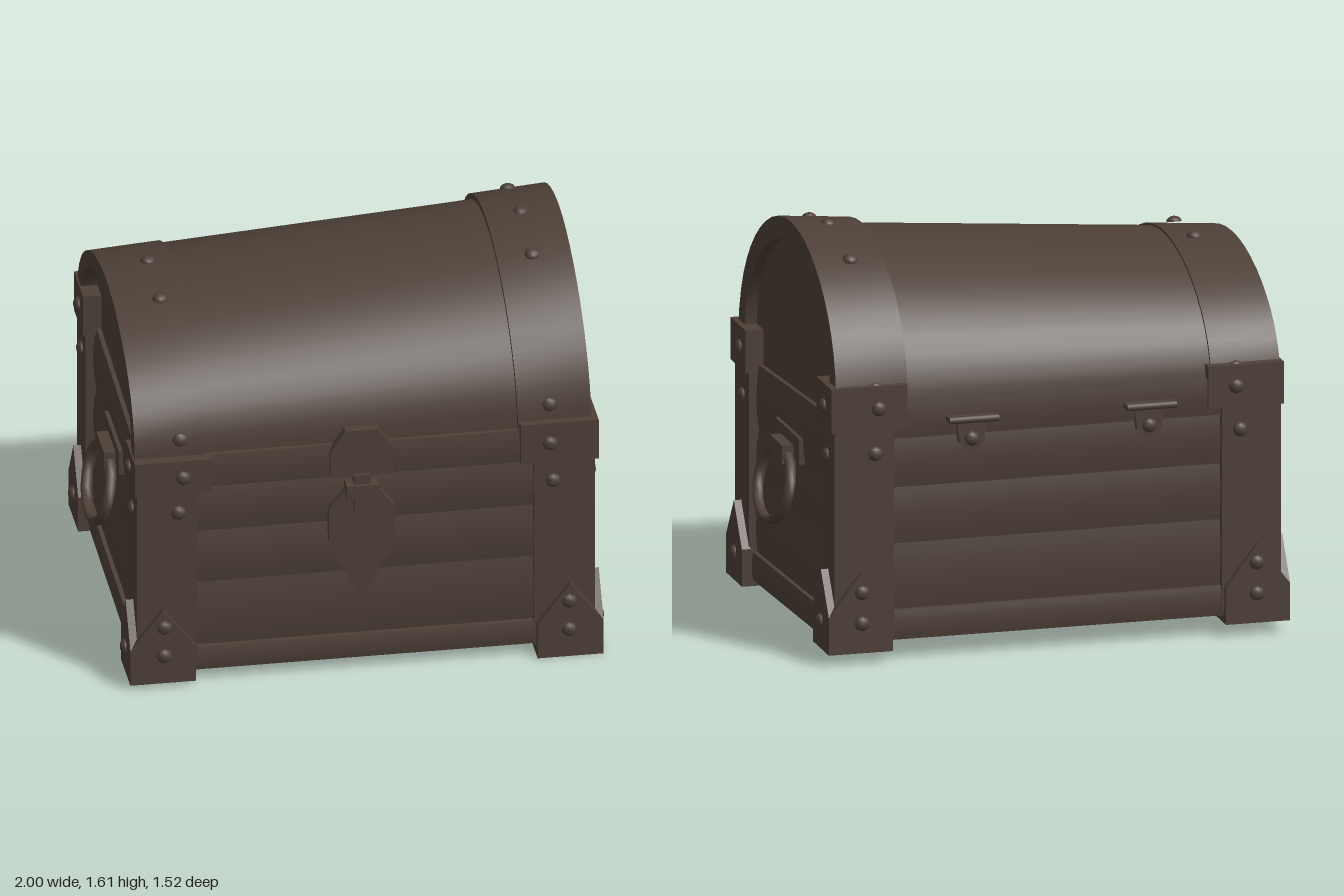
import * as THREE from 'three';
import { toCreasedNormals } from 'three/addons/utils/BufferGeometryUtils.js';

export function createModel() {
  const root = new THREE.Group();
  root.name = 'treasureChest';
  const mat = new THREE.MeshStandardMaterial({ color: 0x4d4037 });
  mat.name = 'dark wood';

  const add = (name, geo, x = 0, y = 0, z = 0, parent = root) => {
    const m = new THREE.Mesh(geo, mat);
    m.name = name;
    m.position.set(x, y, z);
    parent.add(m);
    return m;
  };
  // box given by its limits
  const block = (name, x0, x1, y0, y1, z0, z1) => add(name,
    new THREE.BoxGeometry(Math.abs(x1 - x0), y1 - y0, Math.abs(z1 - z0)),
    (x0 + x1) / 2, (y0 + y1) / 2, (z0 + z1) / 2);
  // flat plate from an outline, centred in its thickness
  const plate = (pts, depth) => {
    const shape = new THREE.Shape(pts.map(p => new THREE.Vector2(...p)));
    return new THREE.ExtrudeGeometry(shape, { depth, bevelEnabled: false }).translate(0, 0, -depth / 2);
  };
  // board with a softly rounded outer face towards +z
  const board = (len, h, t, bulge) => {
    const g = new THREE.BoxGeometry(len, h, t, 1, 6, 1);
    const p = g.attributes.position;
    for (let i = 0; i < p.count; i++) {
      if (p.getZ(i) > 0) p.setZ(i, p.getZ(i) - bulge * Math.pow(2 * p.getY(i) / h, 2));
    }
    return toCreasedNormals(g, 0.6);
  };
  // flattened nail head sitting on a surface
  const up = new THREE.Vector3(0, 1, 0);
  const nailGeo = new THREE.SphereGeometry(0.031, 8, 4, 0, Math.PI * 2, 0, Math.PI / 2).scale(1, 0.7, 1);
  const nail = (x, y, z, nx, ny, nz) => {
    const m = add('nail', nailGeo, x, y, z);
    m.quaternion.setFromUnitVectors(up, new THREE.Vector3(nx, ny, nz).normalize());
  };

  // ---- Lid: arched shapes along x, rising towards the left end ----
  const SPRING = 1.0;
  const rise = x => 0.518 + 0.09 * x;
  const arc = (w, h, n = 24) => Array.from({ length: n + 1 }, (_, i) => {
    const t = Math.PI * i / n;
    return [w * Math.cos(t), h * Math.sin(t) * (1 - 0.015 * Math.sin(2 * t) ** 2)];
  });
  const arch = (name, x0, x1, off, thick, leg, flare = 0) => {
    const w = 0.69 + off, h = 1 + off / 0.6;
    const outer = [[w, -leg], ...arc(w, h), [-w, -leg]];
    const wi = w - thick, hi = h - thick / 0.56;
    const inner = thick ? [[wi, -leg], ...arc(wi, hi), [-wi, -leg]].reverse() : [];
    const g = plate([...outer, ...inner], x1 - x0).rotateY(Math.PI / 2).translate((x0 + x1) / 2, 0, 0);
    const p = g.attributes.position;
    for (let i = 0; i < p.count; i++) {
      const x = p.getX(i), y = p.getY(i);
      p.setXY(i, x + flare * (1 - y), SPRING + (y > 0 ? y * rise(x) : y));
    }
    add(name, toCreasedNormals(g, 0.6));
  };
  arch('lidShell', -0.85, 0.85, -0.018, 0.04, 0.1);
  arch('lidBandLeft', 0.59, 0.88, 0.006, 0.085, 0.06, 0.015);
  arch('lidBandRight', -0.91, -0.63, -0.006, 0.08, 0.06);
  arch('lidEndLeft', 0.79, 0.845, -0.04, 0, 0.14);
  arch('lidEndRight', -0.845, -0.79, -0.04, 0, 0.14);
  for (const [x, angles] of [[0.73, [9, 67, 90, 117, 171]], [-0.73, [8, 73, 97, 171]]]) {
    for (const a of angles) {
      const t = a * Math.PI / 180, h = rise(x);
      nail(x, SPRING + h * Math.sin(t), 0.69 * Math.cos(t), 0, Math.sin(t) / h, Math.cos(t) / 0.69);
    }
  }
  add('lidRimFront', board(1.76, 0.14, 0.06, 0.006), 0, 0.92, 0.668);
  add('lidRimBack', board(1.76, 0.15, 0.07, 0.006), 0, 0.965, -0.665).rotation.y = Math.PI;

  // ---- Walls: stacked boards on all four sides ----
  const rows = [[0.05, 0.15], [0.15, 0.425], [0.425, 0.65], [0.65, 0.86]];
  rows.forEach(([a, b], i) => {
    const h = b - a, y = (a + b) / 2, out = i === 0 ? 0.015 : 0, bulge = i === 0 ? 0.006 : 0.012;
    add('frontBoard', board(1.66, h, 0.07, bulge), 0, y, 0.655 + out);
    add('backBoard', board(1.66, h + 0.02, 0.07, bulge), 0, y + 0.04, -0.655 - out).rotation.y = Math.PI;
  });
  // end boards climb slightly towards the back, some leaning out at the foot
  const endRows = [[0.045, 0.145, 0.03, 0], [0.145, 0.445, 0.025, 0.05], [0.445, 0.655, 0.03, 0.03], [0.655, 0.91, 0.055, 0]];
  endRows.forEach(([a, b, climb, lean], i) => {
    for (const s of [1, -1]) {
      const end = new THREE.Group();
      end.name = 'endBoard';
      end.position.set(s * (i === 0 ? 0.86 : 0.84), (a + b) / 2, 0);
      end.rotation.set(climb, 0, s * lean);
      root.add(end);
      add('board', board(1.3, b - a + 0.012, 0.07, i === 0 ? 0.006 : 0.012), 0, 0, 0, end).rotation.y = s * Math.PI / 2;
    }
  });

  // ---- Underside: frame and tilted slats running lengthwise ----
  block('bottomBeamFront', -0.7, 0.7, 0.052, 0.12, 0.56, 0.64);
  block('bottomBeamBack', -0.7, 0.7, 0.082, 0.14, -0.64, -0.56);
  for (const s of [1, -1]) {
    block('bottomBeamEnd', s * 0.76, s * 0.84, 0.065, 0.13, -0.55, 0.55);
  }
  for (let i = 0; i < 5; i++) {
    const slat = add('bottomSlat', board(1.66, 0.27, 0.05, 0.015), 0, 0.118, -0.5 + i * 0.25);
    slat.rotation.x = Math.PI / 2 + 0.16;
  }

  // ---- Corners: post, lid cap, pointed foot and nails ----
  const corners = [ // side x, side z, foot y, cap bottom, cap top
    [1, 1, 0.0, 0.86, 1.03], [-1, 1, 0.02, 0.845, 0.99],
    [1, -1, 0.045, 0.93, 1.11], [-1, -1, 0.05, 0.92, 1.09],
  ];
  for (const [sx, sz, y0, c0, c1] of corners) {
    const capZ = sz > 0 ? 0.73 : 0.71;
    block('cornerPost', sx * 0.665, sx * 0.905, y0 + 0.05, c0 + 0.01, sz * 0.51, sz * 0.71);
    block('cornerCap', sx * 0.61, sx * 0.917, c0, c1, sz * (capZ - 0.215), sz * capZ);
    block('foot', sx * 0.675, sx * 0.935, y0, y0 + 0.15, sz * 0.505, sz * 0.735);
    const point = w => [[-w, 0], [w, 0], [w, 0.15], [0, 0.32], [-w, 0.15]];
    add('footPointFace', plate(point(0.13), 0.03), sx * 0.805, y0, sz * 0.72);
    add('footPointSide', plate(point(0.115), 0.035).rotateY(Math.PI / 2), sx * 0.9175, y0, sz * 0.62);
    const cy = (c0 + c1) / 2;
    nail(sx * 0.725, cy, sz * capZ, 0, 0, sz);
    nail(sx * 0.74, c0 - 0.09, sz * 0.71, 0, 0, sz);
    nail(sx * 0.8, y0 + 0.12, sz * 0.735, 0, 0, sz);
    nail(sx * 0.8, y0 + 0.245, sz * 0.735, 0, 0, sz);
    nail(sx * 0.917, cy, sz * 0.6, sx, 0, 0);
    nail(sx * 0.905, c0 - 0.11, sz * 0.6, sx, 0, 0);
    nail(sx * 0.935, y0 + 0.112, sz * 0.615, sx, 0, 0);
  }

  // ---- Clasp on the front ----
  const cx = -0.017;
  add('claspTop', plate([[-0.125, 0.86], [0.125, 0.86], [0.125, 0.97], [0.065, 1.06],
    [-0.065, 1.06], [-0.125, 0.97]], 0.04), cx, 0, 0.7);
  add('claspLock', plate([[0, 0.315], [0.05, 0.41], [0.13, 0.57], [0.13, 0.72], [0.065, 0.8],
    [-0.065, 0.8], [-0.13, 0.72], [-0.13, 0.57], [-0.05, 0.41]], 0.05), cx, 0, 0.695);
  block('claspTongue', cx - 0.033, cx + 0.033, 0.7, 0.87, 0.69, 0.735);
  block('claspBar', cx - 0.065, cx + 0.065, 0.775, 0.83, 0.68, 0.75);

  // ---- Hinges on the back ----
  for (const x of [-0.37, 0.35]) {
    block('hingeLeaf', x - 0.1, x + 0.1, 0.95, 0.97, -0.755, -0.67);
    add('hingePin', new THREE.CylinderGeometry(0.014, 0.014, 0.2, 8).rotateZ(Math.PI / 2), x, 0.96, -0.746);
    add('hingeTongue', plate([[0.06, 0.95], [-0.06, 0.95], [-0.05, 0.86], [0, 0.81], [0.05, 0.86]], 0.04), x, 0, -0.695);
    nail(x, 0.875, -0.715, 0, 0, -1);
  }

  // ---- Ring handles on both ends ----
  for (const s of [1, -1]) {
    block('handlePlate', s * 0.84, s * 0.89, 0.66, 0.765, -0.15, 0.19);
    block('handleClip', s * 0.87, s * 0.935, 0.645, 0.72, -0.07, 0.11);
    const ring = add('handleRing', new THREE.TorusGeometry(0.2, 0.023, 8, 16)
      .scale(1, 0.73, 1).rotateY(Math.PI / 2), s * 0.942, 0.55, 0.02);
    ring.rotation.z = s * 0.25;
  }
  return root;
}
